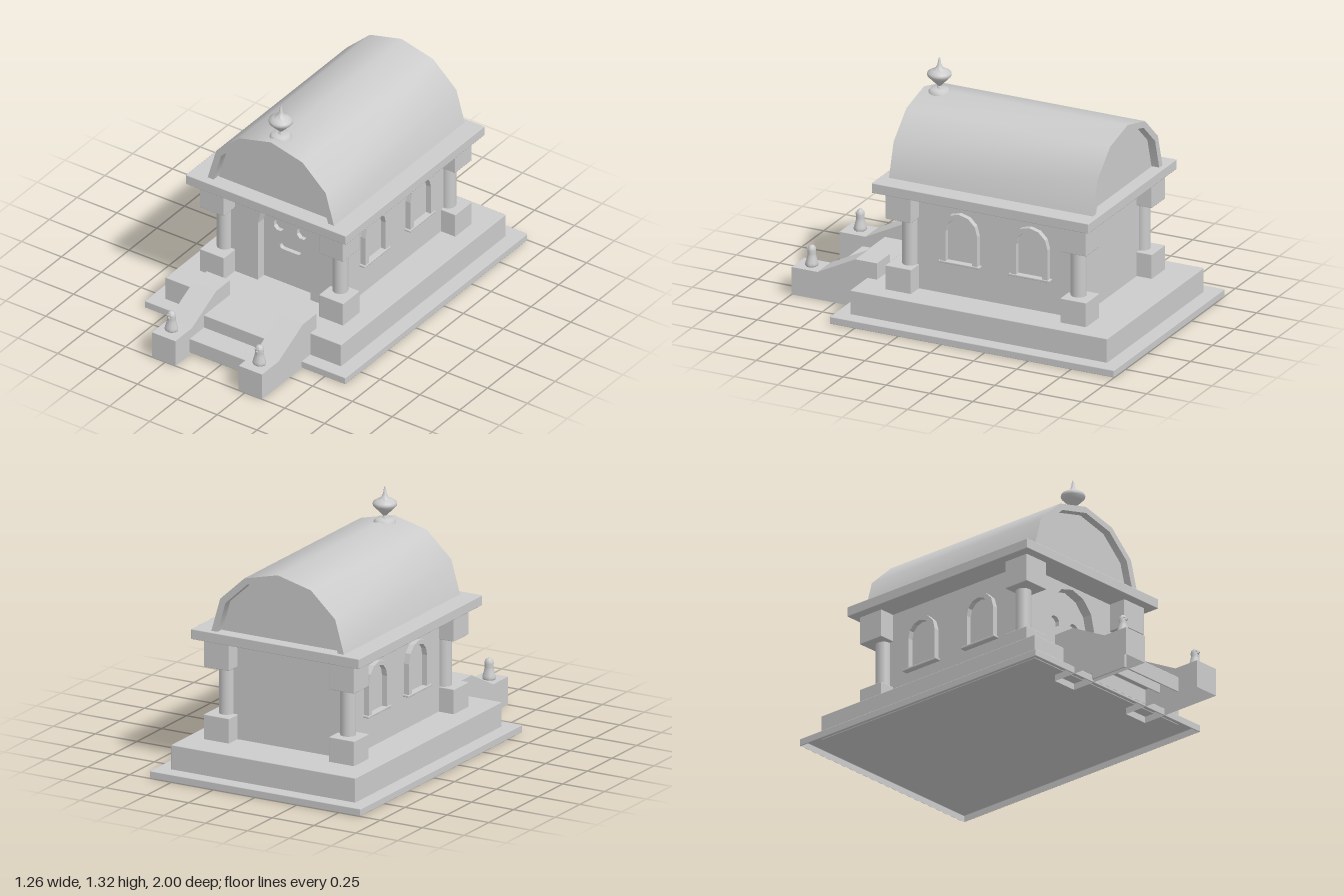
import * as THREE from 'three';
import { toCreasedNormals } from 'three/addons/utils/BufferGeometryUtils.js';
import { RoundedBoxGeometry } from 'three/addons/geometries/RoundedBoxGeometry.js';

const solid = new THREE.MeshStandardMaterial({ color: 0xcccccc });
const hollow = new THREE.MeshStandardMaterial({ color: 0xcccccc, side: THREE.DoubleSide });
const V = (x, y) => new THREE.Vector2(x, y);

// Six-sided half-ellipse, from right end to left end
function arch(cx, cy, rx, ry) {
  return Array.from({ length: 7 }, (_, i) => {
    const a = (i * Math.PI) / 6;
    return V(cx + rx * Math.cos(a), cy + ry * Math.sin(a));
  });
}

// Arched opening standing on a flat base
const opening = (cx, base, spring, rx, ry) =>
  [V(cx - rx, base), V(cx + rx, base), ...arch(cx, spring, rx, ry)];

const disc = (cx, cy, r, n) => Array.from({ length: n }, (_, i) => {
  const a = ((i + 0.5) / n) * Math.PI * 2;
  return V(cx + r * Math.cos(a), cy + r * Math.sin(a));
});

// Slot with rounded ends
const slot = (cx, cy, half, r) => Array.from({ length: 14 }, (_, i) => {
  const end = i < 7 ? 1 : -1;
  const a = -Math.PI / 2 + ((i < 7 ? i : i - 1) * Math.PI) / 6;
  return V(cx + end * (half - r) + r * Math.cos(a), cy + r * Math.sin(a));
});

function extrude(points, depth, holes = []) {
  const shape = new THREE.Shape(points);
  shape.holes = holes.map((h) => new THREE.Path(h));
  return new THREE.ExtrudeGeometry(shape, { depth, bevelEnabled: false });
}

// Turns an extrusion so its x becomes z and its depth runs towards -x
const sideways = (geo) => geo.rotateY(-Math.PI / 2);

// Removes the flat underside, leaving a shell open below
function openBelow(source) {
  const geo = source.index ? source.toNonIndexed() : source;
  geo.computeBoundingBox();
  const floor = geo.boundingBox.min.y + 1e-5;
  const pos = geo.attributes.position;
  const keep = [];
  for (let i = 0; i < pos.count; i += 3) {
    if ([0, 1, 2].some((k) => pos.getY(i + k) > floor)) keep.push(i, i + 1, i + 2);
  }
  geo.clearGroups();
  geo.setIndex(keep);
  return geo;
}

export function createModel() {
  const model = new THREE.Group();
  model.name = 'shrine';
  const temple = new THREE.Group();
  temple.name = 'temple';
  temple.position.x = 0.005;
  model.add(temple);

  const add = (parent, name, geo, x = 0, y = 0, z = 0, mat = solid) => {
    const mesh = new THREE.Mesh(geo, mat);
    mesh.name = name;
    mesh.position.set(x, y, z);
    parent.add(mesh);
    return mesh;
  };
  // Box given by its limits, with slightly softened edges; may be open below
  const box = (parent, name, [x0, x1], [y0, y1], [z0, z1], open = false) => {
    const geo = new RoundedBoxGeometry(x1 - x0, y1 - y0, z1 - z0, 1, 0.004);
    add(parent, name, open ? openBelow(geo) : geo,
      (x0 + x1) / 2, (y0 + y1) / 2, (z0 + z1) / 2, open ? hollow : solid);
  };
  const around = (c, half) => [c - half, c + half];

  // Stepped base
  box(model, 'groundSlab', [-0.63, 0.63], [0, 0.04], [-1, 0.642], true);
  box(model, 'plinth', [-0.552, 0.55], [0.035, 0.172], [-0.92, 0.565]);

  // Walls, with an arched recess for the door
  const mid = 0.011;
  add(temple, 'wallCore', new THREE.BoxGeometry(0.72, 0.56, 0.893), 0, 0.45, -0.2165);
  const doorway = opening(mid, 0.17, 0.52, 0.166, 0.18);
  add(temple, 'frontWall', extrude([
    V(-0.36, 0.17), doorway[0], ...doorway.slice(2).reverse(), doorway[1],
    V(0.36, 0.17), V(0.36, 0.73), V(-0.36, 0.73),
  ], 0.08), 0, 0, 0.23);

  // Door with carved eyes and mouth
  add(temple, 'doorFace', extrude(
    opening(mid, 0.17, 0.52, 0.17, 0.184), 0.025,
    [...[-1, 1].map((s) => disc(mid + s * 0.072, 0.513, 0.034, 8)), slot(mid, 0.395, 0.067, 0.019)],
  ), 0, 0, 0.23);

  // Two arched window frames on each side
  for (const side of [-1, 1]) {
    for (const z of [0.016, -0.39]) {
      const frame = extrude(opening(z, 0.356, 0.53, 0.107, 0.105), 0.035,
        [opening(z, 0.363, 0.53, 0.076, 0.08)]);
      add(temple, 'windowFrame', sideways(frame), side > 0 ? 0.39 : -0.355);
      box(temple, 'windowSill', around(side * 0.372, 0.022), [0.352, 0.364], around(z, 0.118));
    }
  }

  // Corner columns with square bases and capitals
  for (const sx of [-1, 1]) {
    for (const [blockZ, columnZ] of [[0.336, 0.31], [-0.675, -0.663]]) {
      const x = around(sx * 0.374, 0.076), z = around(blockZ, 0.075);
      box(temple, 'columnBase', x, [0.165, 0.306], z);
      box(temple, 'columnCapital', x, [0.563, 0.72], z);
      add(temple, 'columnShaft', new THREE.CylinderGeometry(0.041, 0.041, 0.28, 20), sx * 0.363, 0.435, columnZ);
    }
  }

  // Cornice and barrel roof
  box(temple, 'cornice', [-0.502, 0.502], [0.715, 0.77], [-0.79, 0.462]);
  const shell = extrude(
    [...arch(0, 0.768, 0.397, 0.367), ...arch(0, 0.768, 0.36, 0.332).reverse()], 1.177);
  add(temple, 'roofShell', toCreasedNormals(shell, 0.7), 0, 0, -0.762);
  add(temple, 'gableFill', extrude(arch(0, 0.768, 0.355, 0.331), 1.095), 0, 0, -0.72);

  // Finial
  const finial = [[0, 1.11], [0.06, 1.11], [0.058, 1.128], [0.046, 1.143], [0.014, 1.145],
    [0.009, 1.158], [0.022, 1.172], [0.045, 1.195], [0.062, 1.213], [0.064, 1.222], [0.061, 1.232],
    [0.042, 1.244], [0.021, 1.254], [0.01, 1.275], [0.005, 1.305], [0, 1.317]];
  add(temple, 'finial', toCreasedNormals(
    new THREE.LatheGeometry(finial.map((p) => V(...p)), 20), 1), 0, 0, 0.325);

  // Stairs and their sloping side walls, all open below
  box(model, 'lowerStep', [-0.2, 0.215], [0.012, 0.097], [0.642, 0.87], true);
  box(model, 'upperStep', [-0.2, 0.215], [0.045, 0.172], [0.55, 0.741], true);
  const flank = [V(0.507, 0), V(1, 0), V(1, 0.152), V(0.85, 0.152), V(0.632, 0.262), V(0.507, 0.262)];
  const body = [[0, 0.15], [0.035, 0.15], [0.038, 0.16], [0.035, 0.172], [0.029, 0.19],
    [0.025, 0.207], [0.023, 0.22], [0.025, 0.238], [0.022, 0.252], [0.013, 0.262], [0, 0.266]];
  for (const sx of [-1, 1]) {
    const x = 0.012 + sx * 0.272;
    add(model, 'stairWall', openBelow(sideways(extrude(flank, 0.146))), x + 0.073, 0, 0, hollow);

    // Small guardian figure
    const figure = new THREE.Group();
    figure.name = 'guardianFigure';
    figure.position.set(0.009 + sx * 0.276, 0, 0.92);
    model.add(figure);
    const robe = new THREE.LatheGeometry(body.map((p) => V(...p)), 24);
    const pos = robe.attributes.position;
    for (let i = 0; i < pos.count; i++) { // gentle folds towards the hem
      const px = pos.getX(i), pz = pos.getZ(i);
      const low = Math.max(0, (0.2 - pos.getY(i)) / 0.05);
      const k = 1 - 0.07 * low * (1 - Math.cos(6 * Math.atan2(pz, px))) / 2;
      pos.setXYZ(i, px * k, pos.getY(i), pz * k * 0.9);
    }
    robe.computeVertexNormals();
    add(figure, 'robe', robe);
    for (const e of [-1, 1]) {
      add(figure, 'eye', new THREE.SphereGeometry(0.006, 10, 8), e * 0.01, 0.246, 0.017);
    }
    add(figure, 'beak', new THREE.SphereGeometry(0.007, 10, 8), 0, 0.234, 0.021).scale.set(1.2, 0.7, 1);
  }
  return model;
}
